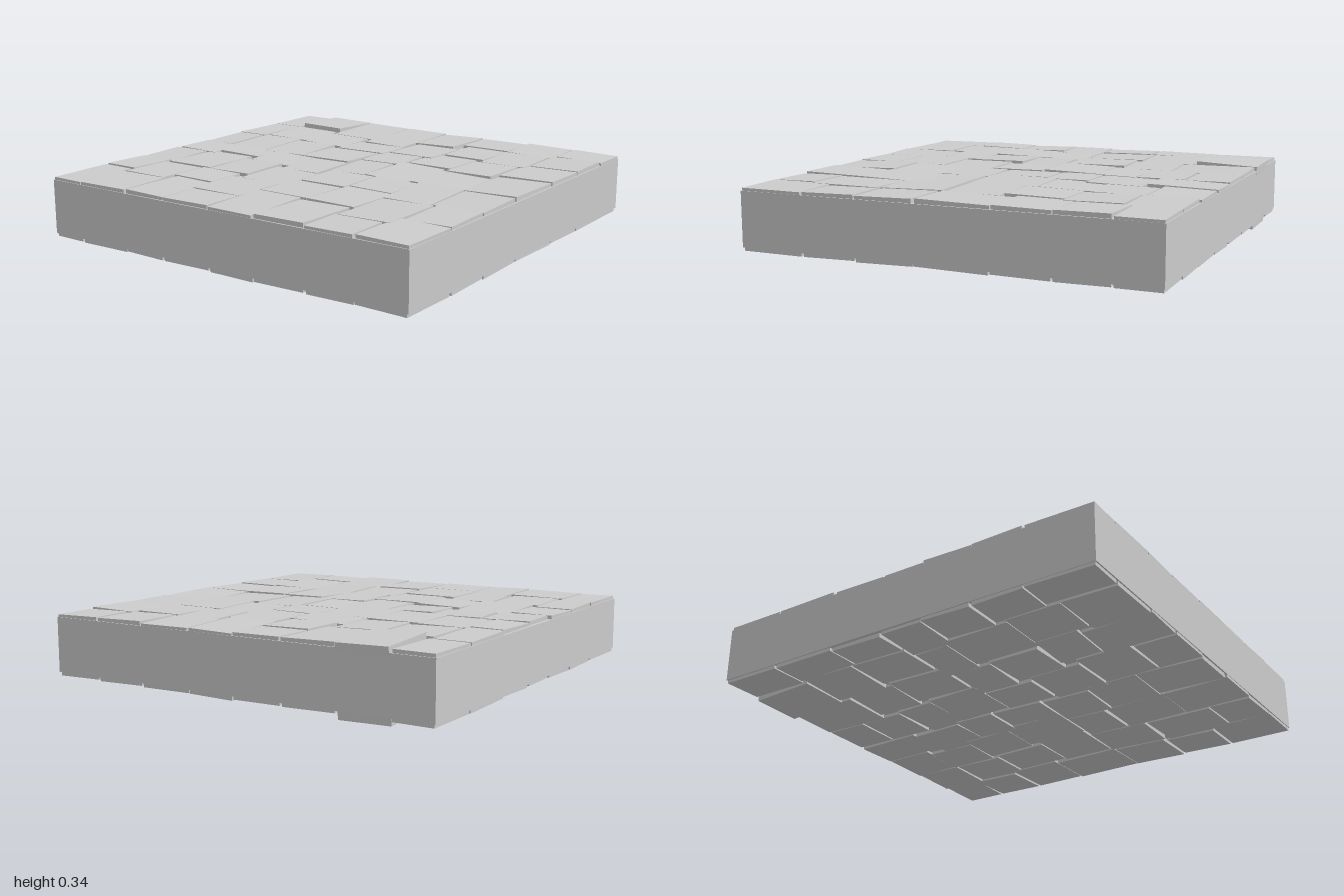
import * as THREE from 'three';

const MID = 0.173;         // height of the slab's middle plane
const STONE_H = 0.294;     // thickness of an ordinary paving stone
const GAP = 0.01;          // joint between stones

// Courses from back to front: x = joints across the course, z = back edge of each stone
const COURSES = [
  { x: [-1, -0.66, -0.4, -0.14, 0.08, 0.36, 0.69, 1], z: [-1, -1, -1, -0.99, -0.99, -1, -1] },
  { x: [-1, -0.72, -0.44, -0.1, 0.08, 0.39, 0.68, 1], z: [-0.82, -0.81, -0.79, -0.75, -0.82, -0.82, -0.8] },
  { x: [-1, -0.65, -0.43, -0.16, 0.06, 0.37, 0.63, 1], z: [-0.53, -0.56, -0.52, -0.49, -0.58, -0.55, -0.54] },
  { x: [-1, -0.78, -0.5, -0.22, 0.05, 0.33, 0.54, 0.78, 1], z: [-0.3, -0.32, -0.27, -0.24, -0.33, -0.3, -0.27, -0.27] },
  { x: [-1, -0.65, -0.38, -0.12, 0.16, 0.38, 0.66, 1], z: [-0.03, -0.03, 0, -0.02, -0.03, 0, -0.02] },
  { x: [-1, -0.66, -0.34, -0.12, 0.22, 0.49, 0.75, 1], z: [0.22, 0.24, 0.25, 0.18, 0.21, 0.26, 0.22] },
  { x: [-1, -0.78, -0.43, -0.11, 0.17, 0.46, 0.74, 1], z: [0.49, 0.5, 0.49, 0.43, 0.46, 0.49, 0.49] },
  { x: [-1, -0.68, -0.41, -0.12, 0.24, 0.52, 0.78, 1], z: [0.74, 0.77, 0.74, 0.72, 0.71, 0.74, 0.75] },
];

// Back edge of the stone lying at x in a course
function backEdge(course, x) {
  if (!course) return 1;
  const i = course.x.findIndex((edge) => edge > x) - 1;
  return course.z[i];
}

function seeded(seed) {
  return () => {
    seed = (seed * 16807) % 2147483647;
    return (seed / 2147483647) * 2 - 1;
  };
}

export function createModel() {
  const model = new THREE.Group();
  model.name = 'pavedSlab';
  const material = new THREE.MeshStandardMaterial({ color: 0xcccccc, flatShading: true });
  const vary = seeded(4711);

  // Solid core that fills the joints
  const core = new THREE.Mesh(new THREE.BoxGeometry(2, 0.262, 2), material);
  core.name = 'core';
  core.position.y = MID;
  model.add(core);

  // Stones run right through the slab, each slightly tilted and turned
  const stones = new THREE.Group();
  stones.name = 'stones';
  COURSES.forEach((course, row) => {
    course.z.forEach((z0, i) => {
      const x0 = course.x[i];
      const x1 = course.x[i + 1];
      const cx = (x0 + x1) / 2;
      const z1 = backEdge(COURSES[row + 1], cx);
      const raised = row === 1 && i === 6;
      const height = raised ? 0.322 : STONE_H + vary() * 0.003;
      const stone = new THREE.Mesh(new THREE.BoxGeometry(x1 - x0 - GAP, height, z1 - z0 - GAP), material);
      stone.name = 'stone';
      stone.position.set(cx, MID, (z0 + z1) / 2);
      const edge = Math.abs(x0) === 1 || x1 === 1 || row === 0 || row === 7;
      stone.rotation.set(vary() * 0.025, vary() * (edge ? 0.012 : 0.025), vary() * 0.025);
      if (raised) stone.rotation.set(0.02, 0, -0.045);
      stones.add(stone);
    });
  });
  model.add(stones);
  return model;
}
